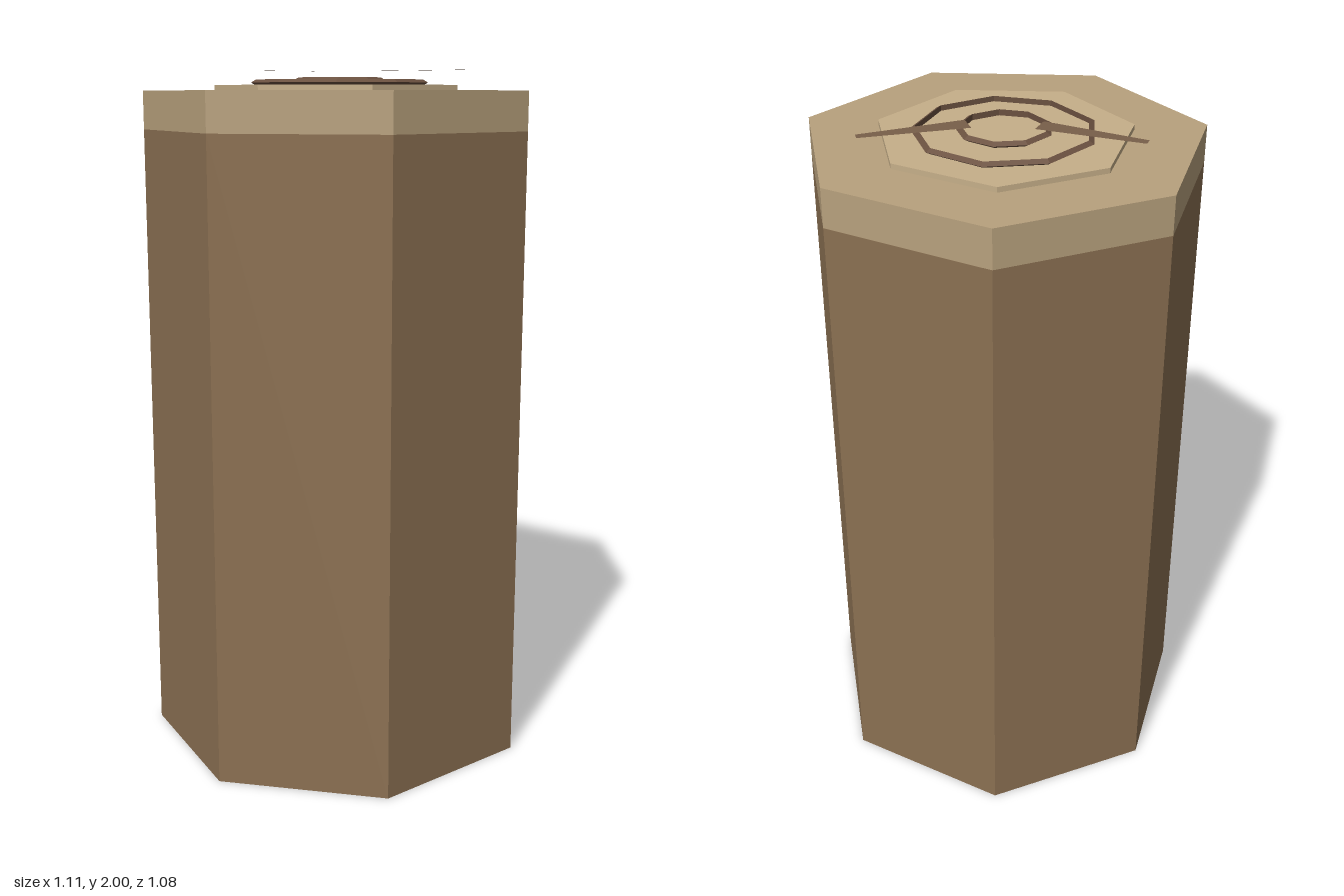
import * as THREE from 'three';

const SIDES = 7;
const CENTER_Z = 0.028;

const paint = (color, extra = {}) =>
  new THREE.MeshStandardMaterial({ color, flatShading: true, ...extra });

export function createModel() {
  const group = new THREE.Group();

  const add = (name, geometry, material, y = 0, z = CENTER_Z) => {
    const mesh = new THREE.Mesh(geometry, material);
    mesh.name = name;
    mesh.position.set(0, y, z);
    group.add(mesh);
    return mesh;
  };

  // Seven-sided solids with one corner pointing to the back
  const prism = (profile) => new THREE.LatheGeometry(
    profile.map(([r, y]) => new THREE.Vector2(r, y)), SIDES, Math.PI);

  add('barkTrunk', prism([[0, 0], [0.568, 0], [0.568, 1.83]]), paint(0x8b7052));
  add('cutTop', prism([[0.568, 1.83], [0.568, 1.94], [0, 1.94]]), paint(0xb8a17d));
  add('heartwood', prism([[0.361, 1.94], [0.361, 1.955], [0, 1.955]]), paint(0xc6af89));

  // Growth rings: nine-sided, triangular in section
  const ringMaterial = paint(0x6b5140);
  for (const [name, radius, y] of [['outerRing', 0.247, 1.962], ['innerRing', 0.125, 1.968]]) {
    const ring = new THREE.TorusGeometry(radius, 0.01, 3, 9);
    ring.rotateX(-Math.PI / 2);
    add(name, ring, ringMaterial, y);
  }

  // Cracks: thin tapering slivers, rising a little toward their narrow tips
  const crackMaterial = paint(0x785f4a, { side: THREE.DoubleSide });
  for (const [name, side] of [['leftCrack', 1], ['rightCrack', -1]]) {
    const outline = [[0.375, -0.143], [0.382, -0.119], [0.106, 0.014], [0.084, -0.043]];
    const crack = new THREE.ShapeGeometry(new THREE.Shape(
      outline.map(([x, z]) => new THREE.Vector2(side * x, -z))));
    crack.rotateX(-Math.PI / 2);
    const p = crack.attributes.position;
    for (let i = 0; i < p.count; i++) p.setY(i, Math.abs(p.getX(i)) > 0.2 ? 2 : 1.995);
    crack.computeVertexNormals();
    add(name, crack, crackMaterial, 0, 0);
  }

  return group;
}
